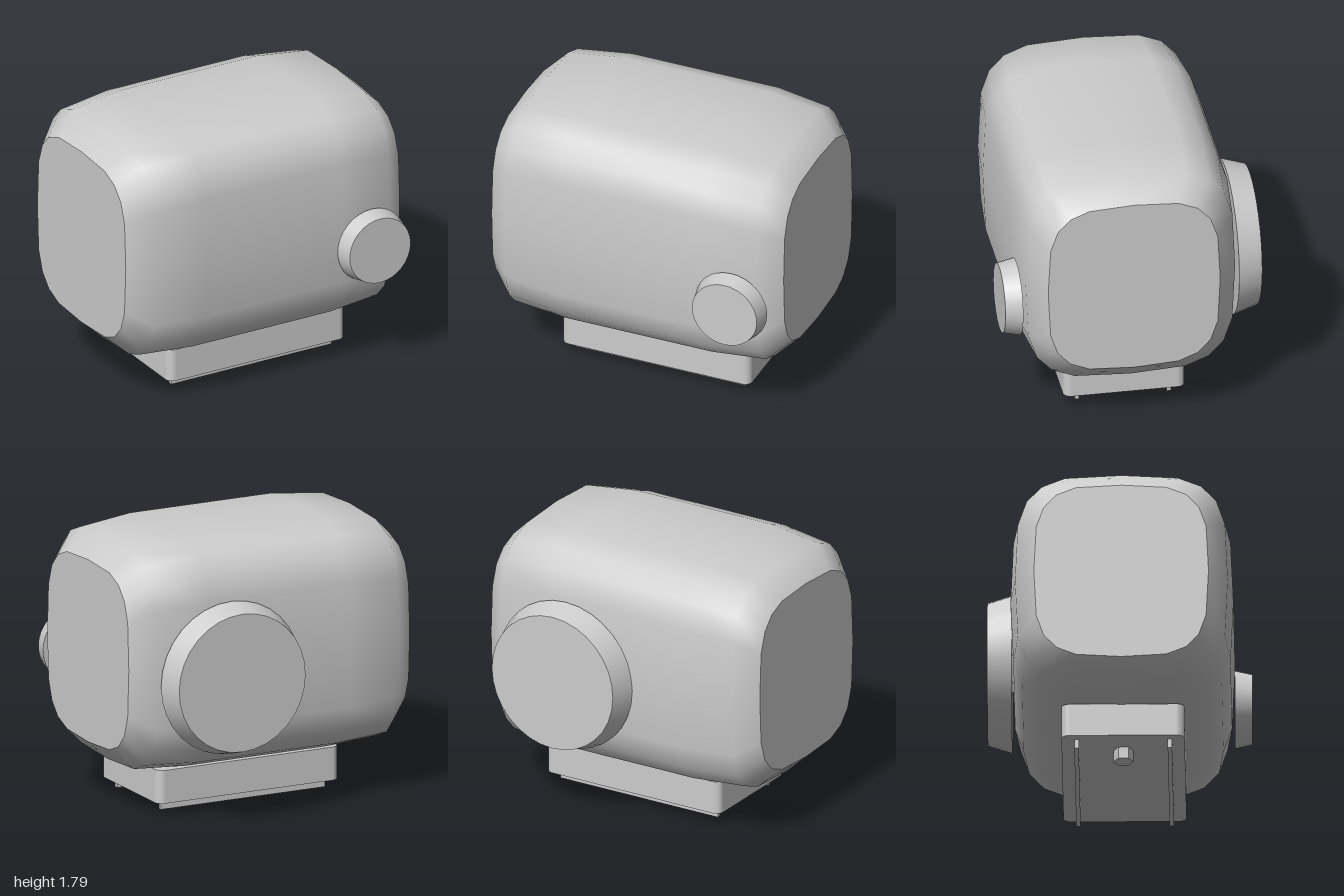
import * as THREE from 'three';

const grey = new THREE.MeshStandardMaterial({ color: 0xcccccc });
grey.name = 'plain grey';

const SIDES = 20;
const CENTRE_Z = 0.02;

// Lengthwise stations of the housing: x, half depth, half height, centre y, corner exponent
const half = [
  [1.0, 0.55, 0.595, 1.026, 0.56],
  [0.86, 0.67, 0.726, 1.028, 0.54],
  [0.5, 0.702, 0.753, 1.037, 0.52],
];
const stations = [...half.map(([x, ...rest]) => [-x, ...rest]), ...half.slice().reverse()];

// Squarish superellipse cross-section
function section([x, a, b, cy, p]) {
  const power = (v) => Math.sign(v) * Math.pow(Math.abs(v) < 1e-9 ? 0 : Math.abs(v), p);
  return Array.from({ length: SIDES }, (_, i) => {
    const t = (i / SIDES) * Math.PI * 2;
    return [x, cy + b * power(Math.cos(t)), CENTRE_Z + a * power(Math.sin(t))];
  });
}

function geometryFrom(points, index) {
  const g = new THREE.BufferGeometry();
  g.setAttribute('position', new THREE.Float32BufferAttribute(points.flat(), 3));
  g.setIndex(index);
  g.computeVertexNormals();
  return g;
}

function housingShell() {
  const index = [];
  for (let s = 0; s < stations.length - 1; s++) {
    for (let i = 0; i < SIDES; i++) {
      const j = (i + 1) % SIDES;
      const a = s * SIDES + i, b = s * SIDES + j;
      index.push(a, b, b + SIDES, a, b + SIDES, a + SIDES);
    }
  }
  return geometryFrom(stations.flatMap(section), index);
}

// Flat end of the housing, fanned from its middle
function endCap(station) {
  const points = [...section(station), [station[0], station[3], CENTRE_Z]];
  const index = [];
  for (let i = 0; i < SIDES; i++) {
    const j = (i + 1) % SIDES;
    if (station[0] > 0) index.push(SIDES, i, j);
    else index.push(SIDES, j, i);
  }
  return geometryFrom(points, index);
}

export function createModel() {
  const model = new THREE.Group();
  model.name = 'housingUnit';

  const add = (name, geometry, x = 0, y = 0, z = 0) => {
    const mesh = new THREE.Mesh(geometry, grey);
    mesh.name = name;
    mesh.position.set(x, y, z);
    model.add(mesh);
    return mesh;
  };

  // Rounded housing with flat ends
  add('housing', housingShell());
  add('rightEnd', endCap(stations[0]));
  add('leftEnd', endCap(stations[stations.length - 1]));

  // Tapered round knob on the front and larger one on the back
  const frontKnob = new THREE.CylinderGeometry(0.222, 0.246, 0.11, 32).rotateX(Math.PI / 2);
  add('frontKnob', frontKnob, 0.705, 0.852, 0.775);
  const backKnob = new THREE.CylinderGeometry(0.45, 0.4975, 0.155, 32).rotateX(-Math.PI / 2);
  add('backKnob', backKnob, 0.352, 0.938, -0.757);

  // Mounting base with rounded upright corners
  const w = 0.645, d = 0.388, r = 0.05;
  const plan = new THREE.Shape();
  plan.absarc(w - r, d - r, r, 0, Math.PI / 2);
  plan.absarc(-w + r, d - r, r, Math.PI / 2, Math.PI);
  plan.absarc(-w + r, -d + r, r, Math.PI, Math.PI * 1.5);
  plan.absarc(w - r, -d + r, r, Math.PI * 1.5, Math.PI * 2);
  const base = new THREE.ExtrudeGeometry(plan, { depth: 0.217, bevelEnabled: false, curveSegments: 6 });
  add('mountingBase', base.rotateX(-Math.PI / 2), 0.055, 0.075, 0.027);

  // Two rails under the base
  for (const [name, z] of [['frontRail', 0.322], ['backRail', -0.266]]) {
    add(name, new THREE.BoxGeometry(1.17, 0.07, 0.028), 0.055, 0.05, z);
  }

  // Hexagonal peg under the base
  const peg = new THREE.CylinderGeometry(0.064, 0.064, 0.08, 6).toNonIndexed();
  peg.computeVertexNormals();
  add('hexPeg', peg, -0.355, 0.04, 0.028);

  return model;
}
